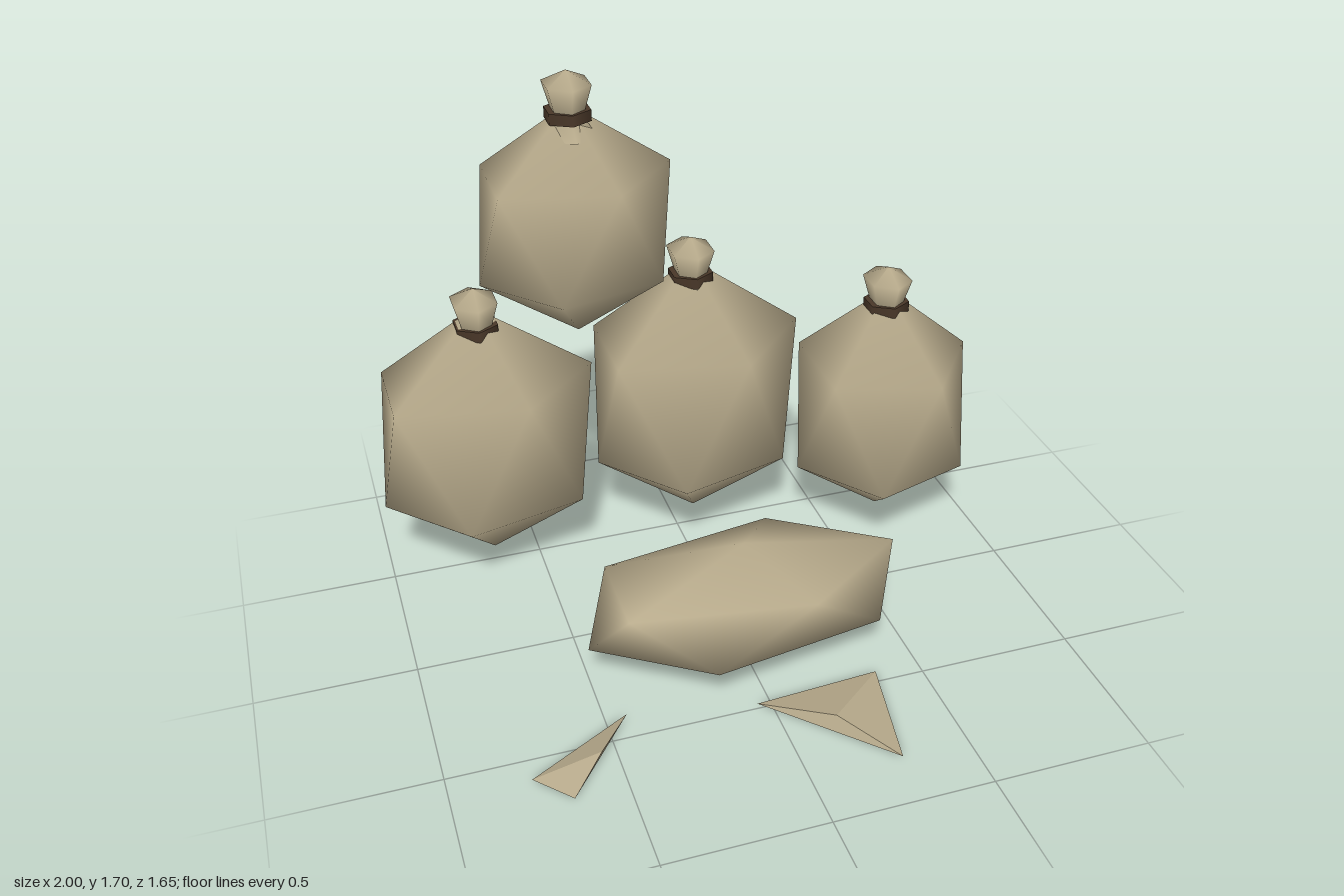
import * as THREE from 'three';
import { ConvexGeometry } from 'three/addons/geometries/ConvexGeometry.js';

const burlap = new THREE.MeshStandardMaterial({ color: 0xb8ab8c });
burlap.name = 'burlap';
const cord = new THREE.MeshStandardMaterial({ color: 0x4a3829 });
cord.name = 'darkCord';

function addMesh(parent, name, geometry, material) {
  const mesh = new THREE.Mesh(geometry, material);
  mesh.name = name;
  parent.add(mesh);
  return mesh;
}

// Twelve-cornered sack: two poles and two staggered five-sided rings.
// Each ring is { y, rx, z, rz }.
function sackGeometry(x, z, top, upper, lower, bottom) {
  const pos = [x, top, z, x, bottom, z];
  [upper, lower].forEach((ring, k) => {
    for (let i = 0; i < 5; i++) {
      const a = (i + k / 2) * Math.PI * 2 / 5;
      pos.push(x + ring.rx * Math.cos(a), ring.y, ring.z + ring.rz * Math.sin(a));
    }
  });
  const index = [];
  for (let i = 0; i < 5; i++) {
    const j = (i + 1) % 5;
    const u = 2 + i, u2 = 2 + j, l = 7 + i, l2 = 7 + j;
    index.push(0, u2, u, u, u2, l, l, u2, l2, 1, l, l2);
  }
  const g = new THREE.BufferGeometry();
  g.setAttribute('position', new THREE.Float32BufferAttribute(pos, 3));
  g.setIndex(index);
  g.computeVertexNormals();
  return g;
}

// Gathered cloth neck with a cord around it; the origin is its peak.
function addNeck(parent, x, peak, z) {
  const neck = new THREE.Group();
  neck.name = 'tiedNeck';
  neck.position.set(x, peak, z);
  const profile = [[0.107, -0.2], [0.066, -0.15], [0.066, -0.12], [0.094, -0.04], [0, 0]]
    .map(([r, y]) => new THREE.Vector2(r, y));
  addMesh(neck, 'ruffle', new THREE.LatheGeometry(profile, 6), burlap).scale.x = 0.84;
  const band = addMesh(neck, 'cordBand', new THREE.CylinderGeometry(0.076, 0.076, 0.036, 6), cord);
  band.position.y = -0.138;
  parent.add(neck);
}

export function createModel() {
  const model = new THREE.Group();
  model.name = 'sackPile';

  // Upright sacks
  const sacks = [
    { name: 'leftmostSack', x: -0.65, z: -0.52, top: 0.962, bottom: 0.037, peak: 1.03,
      upper: { y: 0.7, rx: 0.37, z: -0.52, rz: 0.253 }, lower: { y: 0.273, rx: 0.35, z: -0.522, rz: 0.271 } },
    { name: 'middleSack', x: 0.075, z: -0.55, top: 1.01, bottom: 0.037, peak: 1.09,
      upper: { y: 0.738, rx: 0.372, z: -0.535, rz: 0.279 }, lower: { y: 0.282, rx: 0.34, z: -0.55, rz: 0.294 } },
    { name: 'topSack', x: -0.31, z: -0.55, top: 1.588, bottom: 0.813, peak: 1.695,
      upper: { y: 1.37, rx: 0.32, z: -0.542, rz: 0.247 }, lower: { y: 1.017, rx: 0.31, z: -0.557, rz: 0.255 } },
    { name: 'rightmostSack', x: 0.7, z: -0.36, top: 0.895, bottom: 0.037, peak: 0.975,
      upper: { y: 0.643, rx: 0.3, z: -0.36, rz: 0.288 }, lower: { y: 0.245, rx: 0.3, z: -0.36, rz: 0.288 } },
  ];
  for (const s of sacks) {
    const group = new THREE.Group();
    group.name = s.name;
    addMesh(group, 'sackBody', sackGeometry(s.x, s.z, s.top, s.upper, s.lower, s.bottom), burlap);
    addNeck(group, s.x, s.peak, s.z);
    model.add(group);
  }

  // Wide sack lying in front
  addMesh(model, 'lyingSack', sackGeometry(0, 0.23, 0.42,
    { y: 0.318, rx: 0.5, z: 0.225, rz: 0.247 }, { y: 0.127, rx: 0.5, z: 0.225, rz: 0.247 }, 0.037), burlap);

  // Folded cloth scraps on the ground
  const scraps = [
    [[-0.43, 0, 0.4], [-0.76, 0, 0.58], [-0.66, 0, 0.69], [-0.55, 0.042, 0.575]],
    [[-0.04, 0, 0.48], [0.36, 0, 0.455], [0.29, 0, 0.825], [0.15, 0.047, 0.65]],
  ];
  for (const corners of scraps) {
    addMesh(model, 'clothScrap', new ConvexGeometry(corners.map((c) => new THREE.Vector3(...c))), burlap);
  }
  return model;
}
